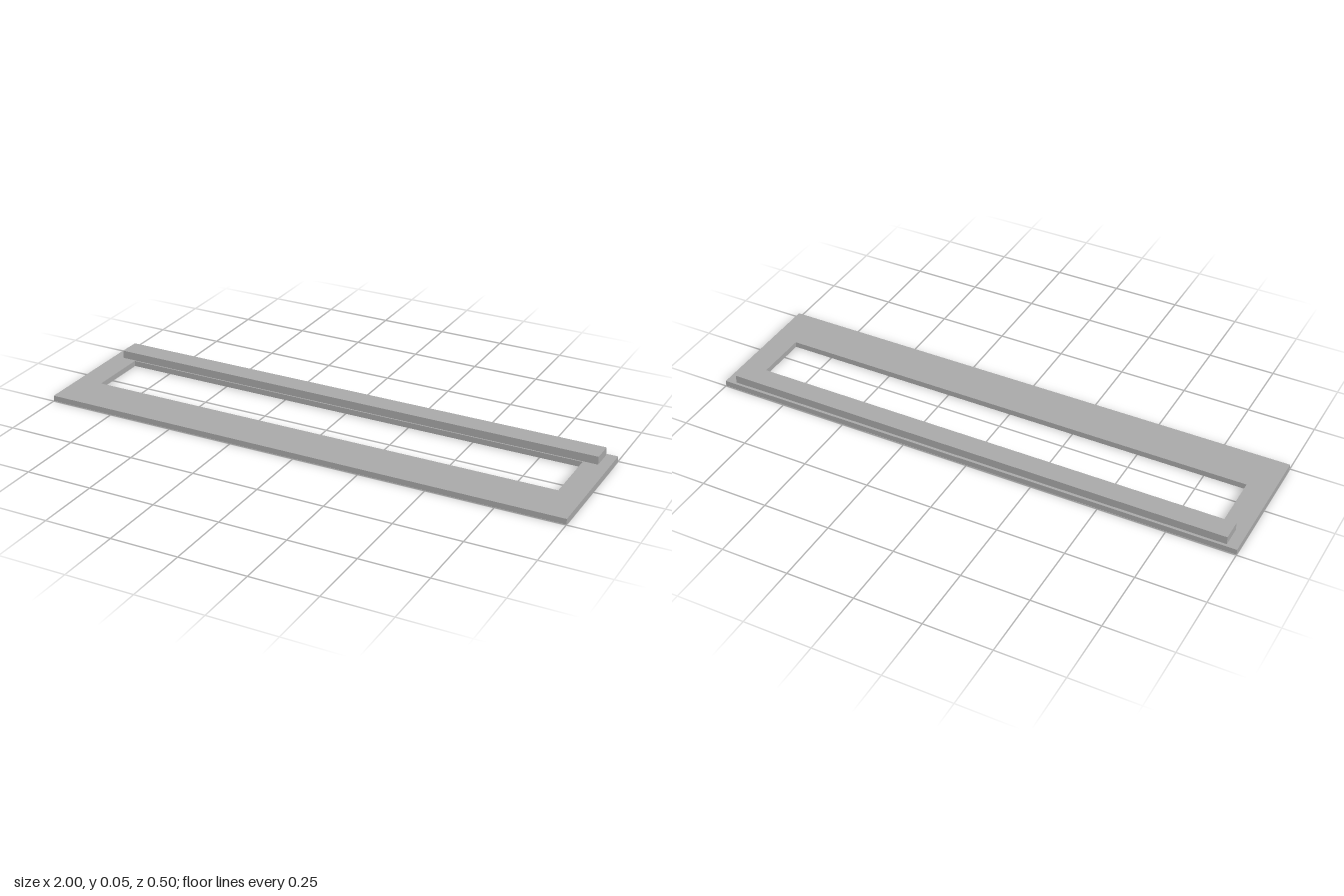
import * as THREE from 'three';

// Rectangle outline in plan; shape y becomes -z once laid flat
function rect(path, x, zBack, zFront) {
  path.moveTo(-x, -zFront);
  path.lineTo(x, -zFront);
  path.lineTo(x, -zBack);
  path.lineTo(-x, -zBack);
  path.closePath();
  return path;
}

export function createModel() {
  const group = new THREE.Group();
  group.name = 'slottedFrame';
  const grey = new THREE.MeshStandardMaterial({ color: 0xaaaaaa });
  grey.name = 'grey';

  // Flat base plate with a long opening set towards the back
  const outline = rect(new THREE.Shape(), 1, -0.2475, 0.2475);
  outline.holes.push(rect(new THREE.Path(), 0.906, -0.152, 0.078));
  const plateGeometry = new THREE.ExtrudeGeometry(outline, { depth: 0.021, bevelEnabled: false });
  plateGeometry.rotateX(-Math.PI / 2);
  const plate = new THREE.Mesh(plateGeometry, grey);
  plate.name = 'basePlate';
  group.add(plate);

  // Raised rail along the back edge
  const rail = new THREE.Mesh(new THREE.BoxGeometry(1.92, 0.03, 0.08), grey);
  rail.name = 'backRail';
  rail.position.set(0, 0.036, -0.197);
  group.add(rail);

  return group;
}
